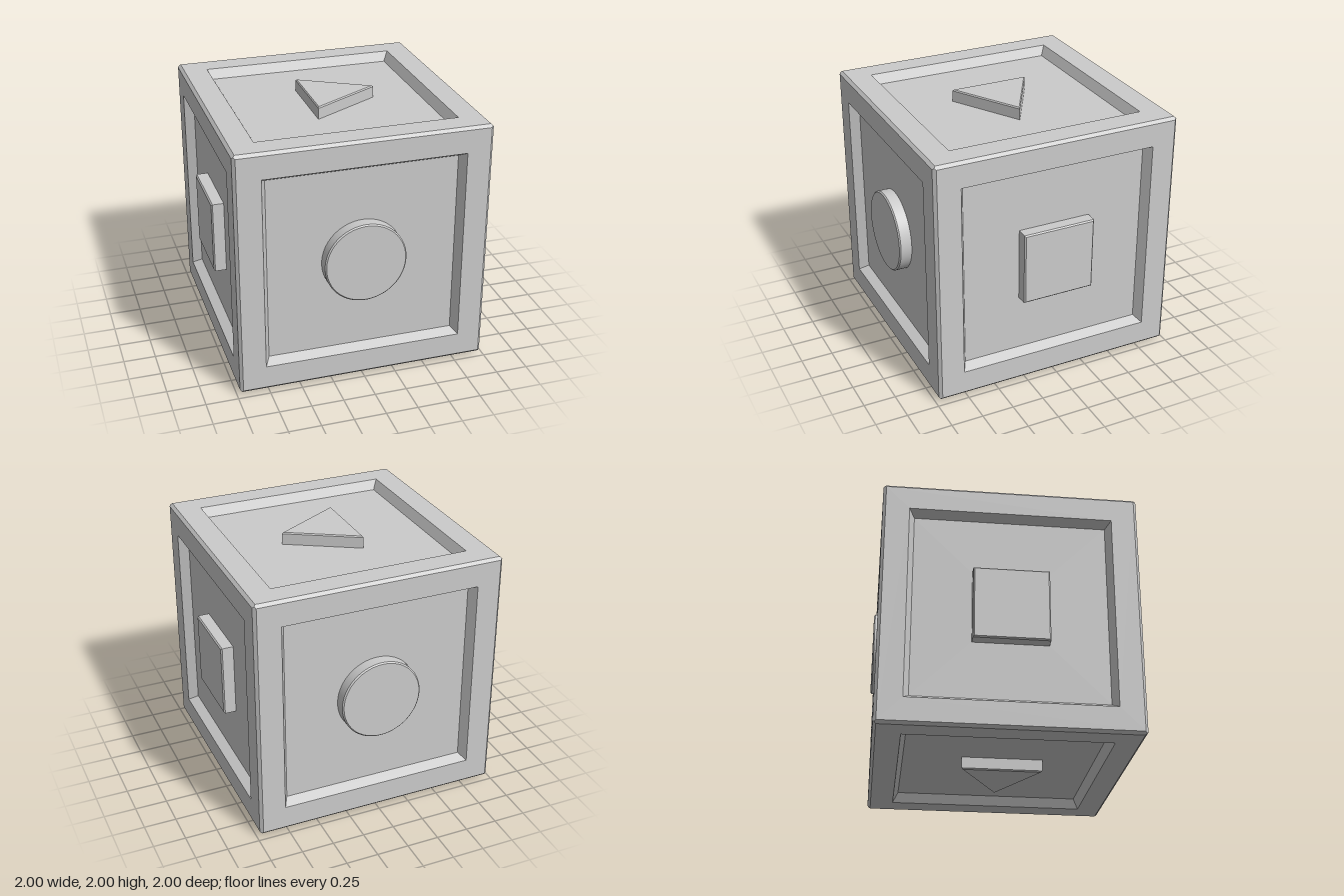
import * as THREE from 'three';
import { toCreasedNormals } from 'three/addons/utils/BufferGeometryUtils.js';

const BEVEL = 0.01;

// Raised symbol: bevelled slab whose face ends at z = 1
function symbolGeometry(shape) {
  const geometry = new THREE.ExtrudeGeometry(shape, {
    depth: 0.1, curveSegments: 48, bevelEnabled: true, bevelSegments: 1,
    bevelSize: BEVEL, bevelThickness: BEVEL, bevelOffset: -BEVEL,
  });
  geometry.translate(0, 0, 0.9 - BEVEL);
  return toCreasedNormals(geometry, 0.5);
}

// Regular polygon shape with its first corner at the given angle
function polygon(sides, radius, start) {
  const points = [];
  for (let i = 0; i < sides; i++) {
    const a = start + (i / sides) * Math.PI * 2;
    points.push(new THREE.Vector2(Math.cos(a) * radius, Math.sin(a) * radius));
  }
  return new THREE.Shape(points);
}

// One cube side facing +z: half chamfer, flat frame, sloped recess wall, floor
function panelGeometry() {
  const profile = [[0.9657, 0.9657], [0.9545, 0.977], [0.774, 0.977], [0.733, 0.903], [0, 0.903]];
  const points = profile.map(([half, height]) => new THREE.Vector2(half * Math.SQRT2, height));
  return new THREE.LatheGeometry(points, 4, Math.PI / 4).rotateX(Math.PI / 2);
}

export function createModel() {
  const model = new THREE.Group();
  model.name = 'shapeCube';
  const flat = new THREE.MeshStandardMaterial({ color: 0xcccccc, flatShading: true });
  const smooth = new THREE.MeshStandardMaterial({ color: 0xcccccc });

  const panel = panelGeometry();
  const circle = symbolGeometry(new THREE.Shape().absarc(0, 0, 0.317, 0, Math.PI * 2));
  const square = symbolGeometry(polygon(4, 0.287 * Math.SQRT2, Math.PI / 4));
  const triangle = symbolGeometry(polygon(3, 0.36, 0));

  // name, symbol, rotation about x, rotation about y, symbol offset
  const q = Math.PI / 2;
  const sides = [
    ['front', 'Circle', circle, 0, 0, 0, 0],
    ['back', 'Circle', circle, 0, Math.PI, 0, 0],
    ['left', 'Square', square, 0, q, 0, 0],
    ['right', 'Square', square, 0, -q, 0, 0],
    ['top', 'Triangle', triangle, -q, 0, 0.014, -0.0235],
    ['bottom', 'Triangle', triangle, q, 0, 0.014, 0.0235],
  ];

  for (const [name, symbolName, symbol, rx, ry, dx, dy] of sides) {
    const side = new THREE.Group();
    side.name = name + 'Side';
    const frame = new THREE.Mesh(panel, flat);
    frame.name = name + 'Panel';
    const raised = new THREE.Mesh(symbol, smooth);
    raised.name = name + symbolName;
    raised.position.set(dx, dy, 0);
    side.add(frame, raised);
    side.rotation.set(rx, ry, 0);
    side.position.y = 1;
    model.add(side);
  }
  return model;
}
